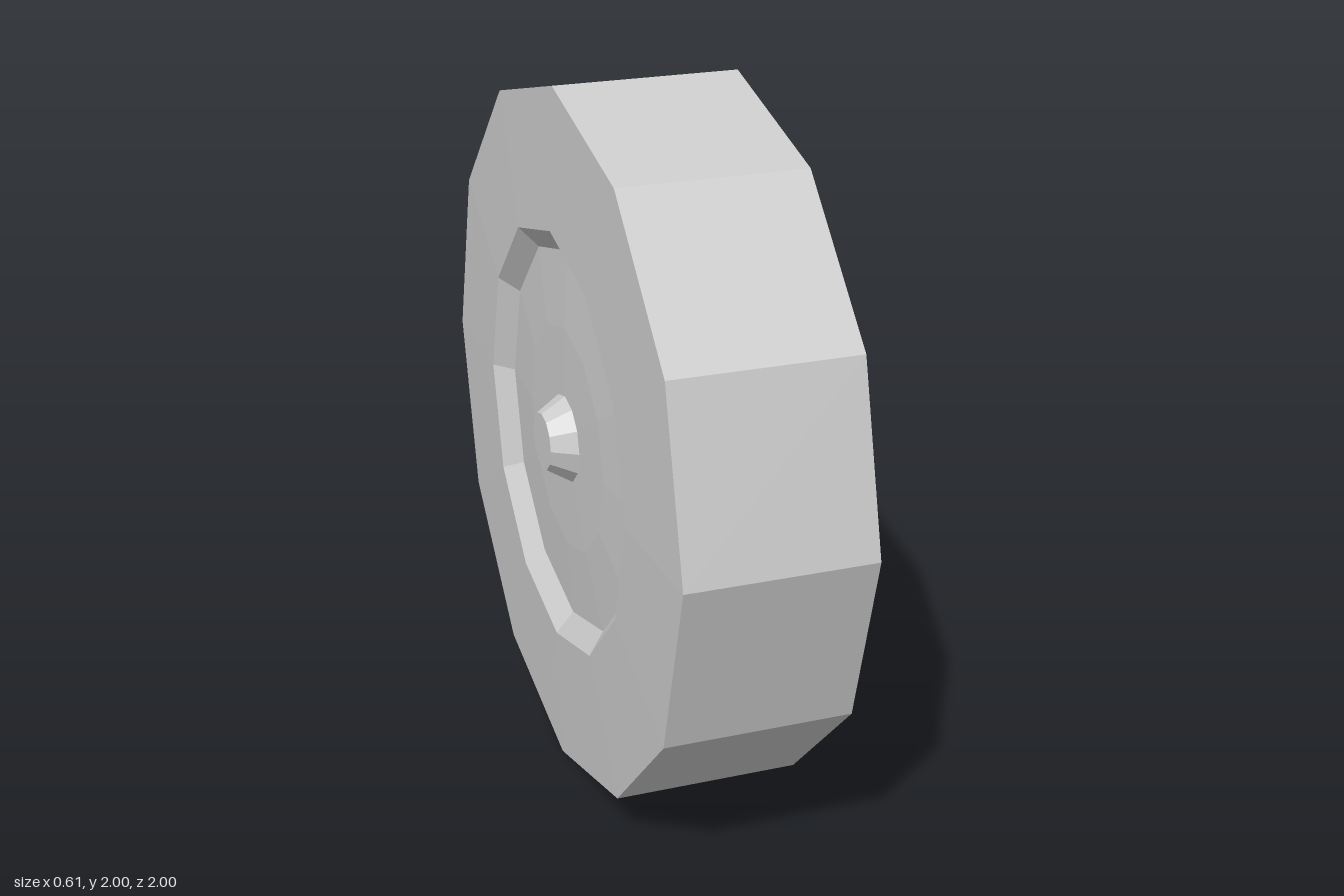
import * as THREE from 'three';

const SIDES = 12;
const material = new THREE.MeshStandardMaterial({ color: 0xcccccc, flatShading: true });

// Turn a profile of [radius, x] points around the x axis
function turned(name, profile) {
  const points = profile.map(([r, x]) => new THREE.Vector2(r, x));
  const geometry = new THREE.LatheGeometry(points, SIDES);
  geometry.rotateZ(-Math.PI / 2);
  const mesh = new THREE.Mesh(geometry, material);
  mesh.name = name;
  return mesh;
}

// One side of the wheel, facing +x
function wheelSide(name) {
  const side = new THREE.Group();
  side.name = name;
  side.add(
    turned('sidewall', [[1, 0.26], [0.605, 0.272]]),
    turned('rimLip', [[0.605, 0.272], [0.545, 0.222]]),
    turned('rimDisc', [[0.545, 0.222], [0.325, 0.235], [0, 0.238]]),
    turned('axleCap', [[0.125, 0.236], [0.082, 0.305], [0, 0.305]]),
  );
  return side;
}

export function createModel() {
  const wheel = new THREE.Group();
  wheel.name = 'wheel';

  // Tread band
  wheel.add(turned('tread', [[1, -0.26], [1, 0.26]]));

  // Matching sides, the second turned to face -x
  const left = wheelSide('leftSide');
  const right = wheelSide('rightSide');
  right.rotation.y = Math.PI;
  wheel.add(left, right);

  wheel.position.y = 1;
  const model = new THREE.Group();
  model.add(wheel);
  return model;
}
